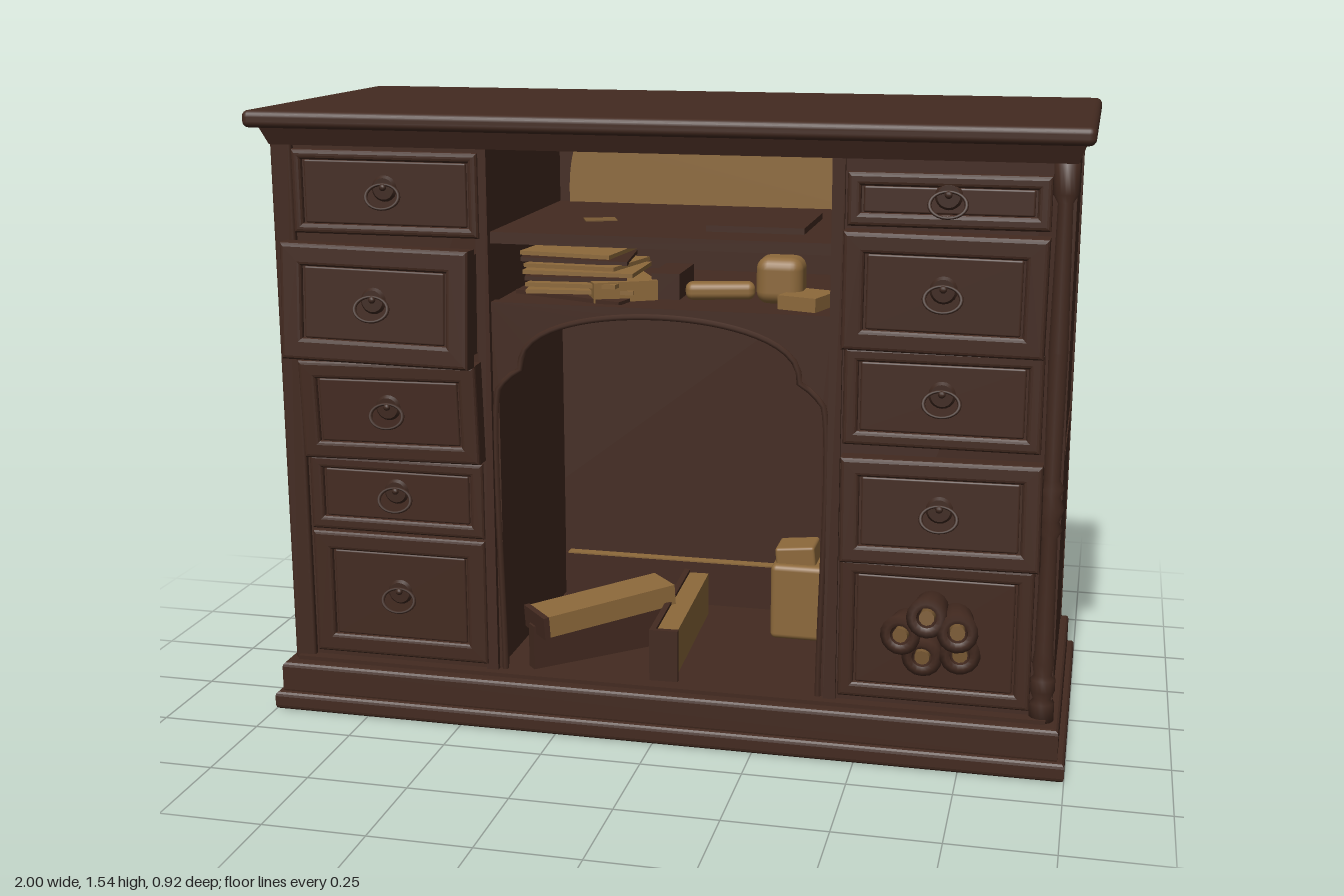
import * as THREE from 'three';
import { RoundedBoxGeometry } from 'three/addons/geometries/RoundedBoxGeometry.js';

const mat = (name, color) => Object.assign(new THREE.MeshStandardMaterial({ color }), { name });

export function createModel() {
  const wood = mat('darkWood', 0x432a20);
  const metal = mat('agedMetal', 0x3e281f);
  const paper = mat('oldPaper', 0x8d693b);
  const paperIn = mat('paperShade', 0x7a5a34);
  paper.side = paperIn.side = wood.side = THREE.DoubleSide;

  const model = new THREE.Group();
  model.name = 'writingDesk';
  const add = (name, geo, m = wood, parent = model) => {
    const mesh = new THREE.Mesh(geo, m);
    mesh.name = name;
    parent.add(mesh);
    return mesh;
  };
  // box given by its limits; r rounds the edges
  const block = (name, x0, x1, y0, y1, z0, z1, m = wood, r = 0, parent = model) => {
    const [w, h, d] = [x1 - x0, y1 - y0, z1 - z0];
    const g = r ? new RoundedBoxGeometry(w, h, d, 3, r) : new THREE.BoxGeometry(w, h, d);
    const mesh = add(name, g, m, parent);
    mesh.position.set((x0 + x1) / 2, (y0 + y1) / 2, (z0 + z1) / 2);
    return mesh;
  };
  const rect = (P, w, h) => {
    const s = new P();
    s.moveTo(-w / 2, -h / 2);
    s.lineTo(w / 2, -h / 2);
    s.lineTo(w / 2, h / 2);
    s.lineTo(-w / 2, h / 2);
    s.closePath();
    return s;
  };
  // rectangular ring with soft edges, depth along +z from 0
  const ring = (w, h, border, depth, b) => {
    const s = rect(THREE.Shape, w - 2 * b, h - 2 * b);
    s.holes.push(rect(THREE.Path, w - 2 * border, h - 2 * border));
    const g = new THREE.ExtrudeGeometry(s, { depth: depth - 2 * b, bevelSize: b, bevelThickness: b, bevelSegments: 3 });
    return g.translate(0, 0, b);
  };

  // hollow plinth in two steps, with a recessed bottom
  for (const [w, d, y, h, b] of [[2, 0.843, 0, 0.048, 0.012], [1.965, 0.815, 0.04, 0.085, 0.012]]) {
    const step = add('plinth', ring(w, d, 0.085, h, b));
    step.rotation.x = -Math.PI / 2;
    step.position.set(0, y, -0.036);
  }
  block('bottomPanel', -0.95, 0.95, 0.04, 0.05, -0.42, 0.34);
  block('floor', -0.95, 0.95, 0.1, 0.135, -0.42, 0.34);

  // top board and the flared moulding below it
  block('topBoard', -1, 1, 1.495, 1.537, -0.46, 0.403, wood, 0.016);
  const flare = new THREE.BoxGeometry(1.926, 0.05, 0.765);
  const fp = flare.attributes.position;
  for (let i = 0; i < fp.count; i++) {
    if (fp.getY(i) < 0) continue;
    fp.setX(i, fp.getX(i) * 1.02);
    fp.setZ(i, fp.getZ(i) + (fp.getZ(i) > 0 ? 0.022 : -0.012));
  }
  flare.computeVertexNormals();
  add('topMoulding', flare).position.set(0, 1.475, -0.053);

  // pedestals and side frames
  for (const s of [-1, 1]) {
    const side = new THREE.Group();
    side.name = s > 0 ? 'leftPedestal' : 'rightPedestal';
    model.add(side);
    const sb = (name, a, b, ...rest) => block(name, Math.min(s * a, s * b), Math.max(s * a, s * b), ...rest, wood, 0, side);
    sb('pedestal', 0.415, 0.95, 0.12, 1.46, -0.425, 0.31);
    sb('innerStile', 0.415, 0.445, 0.12, 1.46, 0.29, 0.32);
    sb('frontStile', 0.945, 0.963, 0.12, 1.46, 0.25, 0.31);
    sb('rearStile', 0.945, 0.963, 0.12, 1.46, -0.435, -0.41);
    sb('topRail', 0.945, 0.962, 1.445, 1.46, -0.42, 0.26);
    sb('lowerSidePanel', 0.945, 0.961, 0.125, 0.725, -0.415, 0.255);
    sb('upperSidePanel', 0.945, 0.958, 0.725, 1.45, -0.415, 0.255);
    sb('backUpright', 0.86, 0.95, 0.12, 1.46, -0.434, -0.42);
  }
  // plain post on one front corner, turned column on the other
  block('cornerPost', -0.965, -0.91, 0.12, 1.46, 0.29, 0.325, wood, 0.008);
  const colPts = [[0, 0], [0.03, 0], [0.03, 0.05], [0.022, 0.06], [0.03, 0.08], [0.03, 0.11], [0.022, 0.12],
    [0.027, 0.15], [0.023, 0.18], [0.02, 0.46], [0.03, 0.48], [0.022, 0.5], [0.032, 0.53], [0.022, 0.56],
    [0.03, 0.58], [0.02, 0.6], [0.023, 0.9], [0.018, 1.24], [0.029, 1.26], [0.029, 1.33], [0, 1.33]];
  const col = add('cornerColumn', new THREE.LatheGeometry(colPts.map(p => new THREE.Vector2(...p)), 16));
  col.position.set(0.938, 0.12, 0.305);

  block('backPanel', -0.87, 0.87, 0.12, 1.46, -0.432, -0.29);
  block('kneeSkirting', -0.41, 0.41, 0.135, 0.26, -0.3, -0.27);

  // shelves in the middle
  block('upperShelf', -0.42, 0.42, 1.222, 1.25, -0.3, 0.3);
  block('lowerShelf', -0.42, 0.42, 1.055, 1.075, -0.3, 0.28);

  // arched front of the knee space
  const edge = [[-0.4, 0.13], [-0.4, 0.87], [-0.385, 0.885], [-0.37, 0.9]];
  for (let i = 0; i <= 20; i++) {
    const a = Math.PI * (1 - i / 20);
    edge.push([0.345 * Math.cos(a), 0.915 + 0.145 * Math.pow(Math.sin(a), 0.8)]);
  }
  edge.push([0.37, 0.9], [0.385, 0.885], [0.4, 0.87], [0.4, 0.13]);
  const arch = new THREE.Shape();
  arch.moveTo(-0.42, 0.13);
  edge.forEach(p => arch.lineTo(...p));
  [[0.42, 0.13], [0.42, 1.08], [-0.42, 1.08]].forEach(p => arch.lineTo(...p));
  arch.closePath();
  add('archFront', new THREE.ExtrudeGeometry(arch, { depth: 0.03, bevelEnabled: false })).position.z = 0.275;
  const bead = new THREE.CatmullRomCurve3(edge.map(p => new THREE.Vector3(p[0], p[1], 0.305)), false, 'centripetal');
  add('archBead', new THREE.TubeGeometry(bead, 90, 0.008, 6));

  // ring pull hanging from a small domed plate
  const handle = (parent, z) => {
    const plate = add('handlePlate', new THREE.CylinderGeometry(0.026, 0.032, 0.008, 20), metal, parent);
    plate.rotation.x = Math.PI / 2;
    plate.position.set(0, 0.012, z + 0.004);
    const knob = add('handleKnob', new THREE.SphereGeometry(0.009, 10, 8), metal, parent);
    knob.position.set(0, 0.016, z + 0.01);
    const bail = add('handleRing', new THREE.TorusGeometry(0.042, 0.005, 8, 24), metal, parent);
    bail.scale.y = 0.72;
    bail.rotation.x = -0.3;
    bail.position.set(0, -0.006, z + 0.016);
  };
  // drawers: x0, x1, y0, y1, front z, border, tilt x, tilt z
  const drawers = [
    [-0.91, -0.435, 1.235, 1.44, 0.33, 0.015, 0, 0],
    [-0.905, -0.43, 0.94, 1.225, 0.438, 0.045, -0.04, -0.015],
    [-0.895, -0.435, 0.68, 0.93, 0.375, 0.035, 0.03, 0.015],
    [-0.9, -0.44, 0.48, 0.675, 0.33, 0.025, 0, 0],
    [-0.9, -0.44, 0.15, 0.475, 0.33, 0.04, 0, 0],
    [0.45, 0.91, 1.295, 1.42, 0.325, 0.022, 0, 0],
    [0.45, 0.91, 1.015, 1.29, 0.385, 0.04, 0.02, -0.01],
    [0.45, 0.91, 0.78, 1.015, 0.33, 0.025, 0, 0],
    [0.455, 0.92, 0.51, 0.765, 0.385, 0.035, -0.03, 0.01],
    [0.45, 0.91, 0.15, 0.5, 0.33, 0.028, 0, 0],
  ];
  drawers.forEach(([x0, x1, y0, y1, z, border, rx, rz], i) => {
    const g = new THREE.Group();
    g.name = 'drawer' + (i + 1);
    g.position.set((x0 + x1) / 2, (y0 + y1) / 2, z);
    g.rotation.set(rx, 0, rz);
    model.add(g);
    const [w, h] = [x1 - x0, y1 - y0];
    add('drawerFrame', ring(w, h, border, 0.06, 0.01), wood, g).position.z = -0.06;
    block('drawerPanel', -w / 2 + 0.012, w / 2 - 0.012, -h / 2 + 0.012, h / 2 - 0.012, -0.055, -0.014, wood, 0, g);
    const iw = w - 2 * border - 0.03, ih = h - 2 * border - 0.02;
    block('raisedField', -iw / 2, iw / 2, -ih / 2, ih / 2, -0.03, -0.008, wood, 0.005, g);
    block('drawerBox', -w / 2 + 0.02, w / 2 - 0.02, -h / 2 + 0.02, h / 2 - 0.02, -0.3, -0.05, wood, 0, g);
    if (i < 9) handle(g, -0.008);
  });

  // bundle of rolls on the lowest drawer: x, y, length
  [[0.595, 0.345, 0.1], [0.67, 0.41, 0.13], [0.75, 0.375, 0.13], [0.76, 0.3, 0.1], [0.655, 0.28, 0.09]].forEach(([x, y, len], i) => {
    const g = new THREE.Group();
    g.name = 'roll' + (i + 1);
    const [dx, dy] = [x - 0.68, y - 0.345];
    g.position.set(x - dx * 0.3, y - dy * 0.3, 0.305);
    g.quaternion.setFromUnitVectors(new THREE.Vector3(0, 1, 0), new THREE.Vector3(dx * 1.6, dy * 1.6, 1).normalize());
    const pts = [[0.024, len], [0.024, 0], [0.04, 0], [0.042, len * 0.5], [0.048, len], [0.034, len + 0.005], [0.024, len]];
    add('rollShell', new THREE.LatheGeometry(pts.map(p => new THREE.Vector2(...p)), 16), wood, g);
    add('rollCore', new THREE.CylinderGeometry(0.018, 0.018, len, 10), paperIn, g).position.y = len / 2;
    model.add(g);
  });

  // large sheet standing at the back of the top compartment
  const sheet = new THREE.Shape();
  sheet.moveTo(-0.385, 1.25);
  sheet.quadraticCurveTo(-0.39, 1.37, -0.355, 1.43);
  sheet.lineTo(0.41, 1.43);
  sheet.lineTo(0.41, 1.25);
  add('standingSheet', new THREE.ShapeGeometry(sheet), paper).position.z = -0.28;
  block('flatFolder', 0.09, 0.33, 1.25, 1.265, -0.1, 0.18);
  block('looseSheet', -0.25, -0.17, 1.25, 1.253, 0.02, 0.07, paperIn).rotation.y = 0.4;

  // papers and small things on the lower shelf
  for (let i = 0; i < 8; i++) {
    const p = block('paperStack', -0.37 + 0.012 * (i % 3), -0.08 - 0.014 * (i % 4), 1.078 + i * 0.015, 1.088 + i * 0.015,
      0.04, 0.23, i % 3 ? paper : wood);
    p.rotation.set(0, 0.12 * ((i * 3) % 5 - 2), 0.03 * (i % 3 - 1));
  }
  block('openNotebook', -0.22, -0.06, 1.076, 1.125, 0.06, 0.22, paper).rotation.y = 0.5;
  block('smallBook', -0.05, 0.02, 1.076, 1.14, 0, 0.16);
  block('scroll', 0.03, 0.2, 1.076, 1.12, 0.1, 0.15, paper, 0.018).rotation.y = 0.25;
  block('pouch', 0.21, 0.325, 1.076, 1.19, 0.08, 0.18, paper, 0.03);
  block('foldedNote', 0.29, 0.39, 1.076, 1.11, 0.12, 0.24, paper).rotation.y = -0.3;

  // long upright book running back from the front of the knee space
  const book = new THREE.Group();
  book.name = 'standingBook';
  book.position.set(0, 0.2, 0.06);
  book.rotation.y = 0.04;
  block('pages', -0.02, 0.032, -0.055, 0.06, -0.235, 0.23, paper, 0, book);
  block('cover', -0.035, -0.02, -0.065, 0.068, -0.24, 0.24, wood, 0, book);
  block('spine', -0.035, 0.037, -0.065, 0.068, 0.225, 0.24, wood, 0, book);
  model.add(book);

  // slanting board with a block of paper lying on it
  const pile = new THREE.Group();
  pile.name = 'boardAndPapers';
  pile.position.set(-0.185, 0, 0.17);
  pile.rotation.y = 0.73;
  block('board', -0.19, 0.19, 0.135, 0.25, -0.03, 0.0, wood, 0, pile);
  block('boardEnd', 0.185, 0.195, 0.135, 0.25, -0.03, 0.0, paper, 0, pile);
  block('paperBlock', -0.17, 0.19, 0.245, 0.3, -0.06, 0.05, paper, 0, pile).rotation.z = 0.07;
  block('paperBlockSpine', -0.185, -0.17, 0.23, 0.288, -0.065, 0.055, wood, 0, pile).rotation.z = 0.07;
  model.add(pile);
  block('paperStrip', -0.4, 0.2, 0.26, 0.264, -0.295, -0.262, paper);

  // jar in the corner
  const jar = new THREE.Group();
  jar.name = 'jar';
  jar.position.set(0.29, 0, -0.12);
  block('jarBody', -0.075, 0.075, 0.135, 0.34, -0.07, 0.07, paper, 0.015, jar);
  block('jarLid', -0.065, 0.04, 0.325, 0.385, -0.05, 0.05, paper, 0.008, jar).rotation.z = 0.1;
  model.add(jar);

  return model;
}
